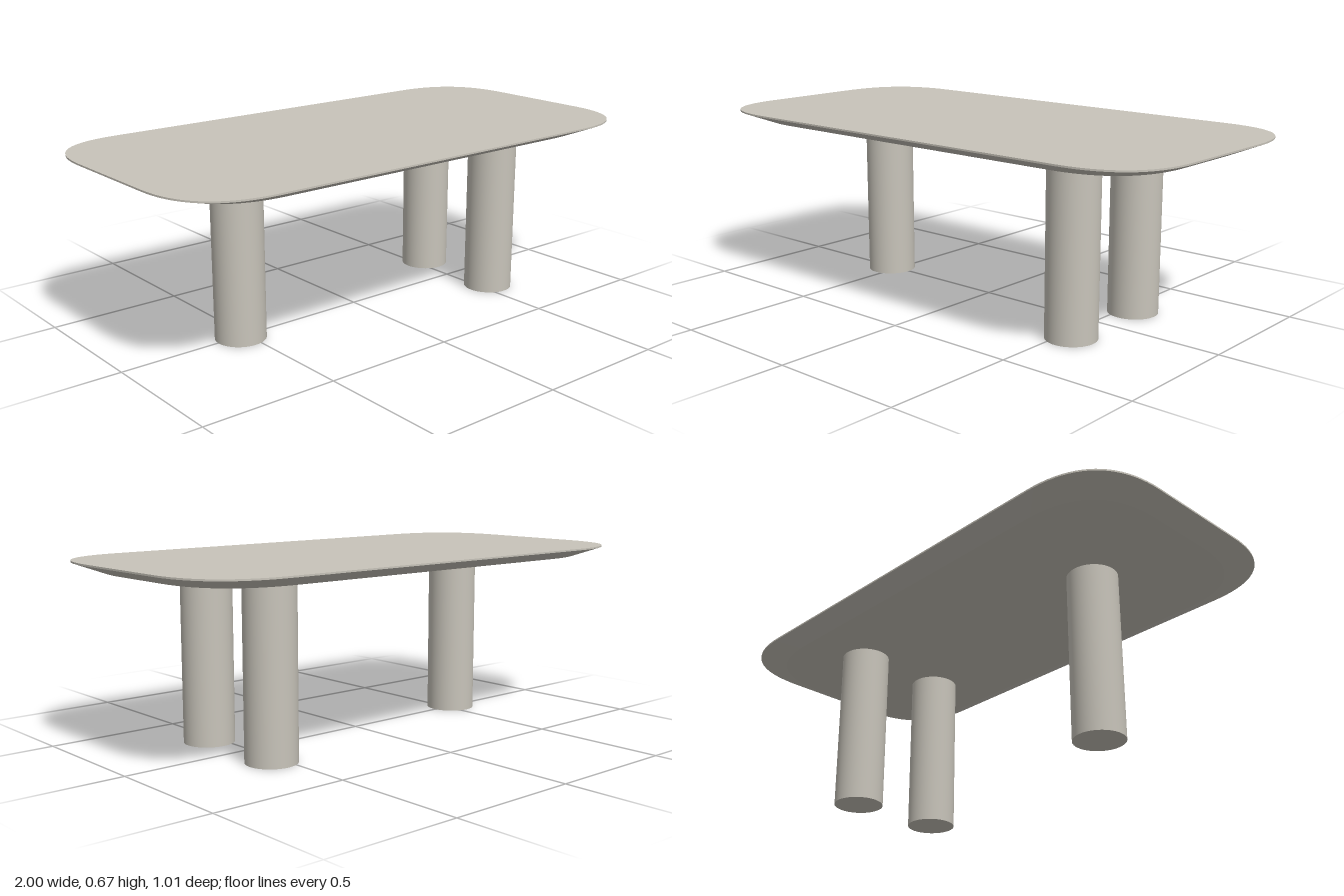
import * as THREE from 'three';

const TOP = 0.672, LIP = 0.666, UNDER = 0.632;   // tabletop heights
const HALF_X = 1, HALF_Z = 0.505, INSET = 0.08;  // tabletop extents and bevel
const CORNER = 0.3, STEPS = 20;

// Rounded rectangle as a closed loop of points, with soft quadratic corners
function outline(hx, hz, y) {
  const points = [];
  const corners = [[1, 1], [-1, 1], [-1, -1], [1, -1]];
  for (const [sx, sz] of corners) {
    const alongX = new THREE.Vector3(sx * (hx - CORNER), y, sz * hz);
    const alongZ = new THREE.Vector3(sx * hx, y, sz * (hz - CORNER));
    const tip = new THREE.Vector3(sx * hx, y, sz * hz);
    const [from, to] = sx * sz > 0 ? [alongZ, alongX] : [alongX, alongZ];
    points.push(...new THREE.QuadraticBezierCurve3(from, tip, to).getPoints(STEPS));
  }
  return points;
}

// Joins consecutive loops; each band has its own vertices so the edges stay sharp
function loft(loops) {
  const positions = [], index = [];
  for (let k = 0; k < loops.length - 1; k++) {
    const n = loops[k].length, start = positions.length / 3;
    for (const p of [...loops[k], ...loops[k + 1]]) positions.push(p.x, p.y, p.z);
    for (let i = 0; i < n; i++) {
      const j = (i + 1) % n;
      const a = start + i, a1 = start + j;
      const b = a + n, b1 = a1 + n;
      index.push(a, b, a1, b, b1, a1);
    }
  }
  const geometry = new THREE.BufferGeometry();
  geometry.setAttribute('position', new THREE.Float32BufferAttribute(positions, 3));
  geometry.setIndex(index);
  geometry.computeVertexNormals();
  return geometry;
}

export function createModel() {
  const model = new THREE.Group();
  model.name = 'table';

  const stone = new THREE.MeshStandardMaterial({ color: 0xc8c4ba });
  stone.name = 'warm grey';

  // Tabletop: flat underside, wide bevel, thin lip, flat top
  const under = outline(HALF_X - INSET, HALF_Z - INSET * 0.95, UNDER);
  const lip = outline(HALF_X, HALF_Z, LIP);
  const upper = outline(HALF_X, HALF_Z, TOP);
  const centre = (y) => upper.map(() => new THREE.Vector3(0, y, 0));
  const tabletop = new THREE.Mesh(
    loft([centre(UNDER), under, lip, upper, centre(TOP)]), stone);
  tabletop.name = 'tabletop';
  model.add(tabletop);

  // Three round legs: a pair at one end, a single one at the other
  const legGeometry = new THREE.CylinderGeometry(0.0925, 0.0925, UNDER, 64);
  const legs = [
    ['frontLeftLeg', 0.54, 0.19],
    ['backLeftLeg', 0.54, -0.18],
    ['rightLeg', -0.527, 0.005],
  ];
  for (const [name, x, z] of legs) {
    const leg = new THREE.Mesh(legGeometry, stone);
    leg.name = name;
    leg.position.set(x, UNDER / 2, z);
    model.add(leg);
  }
  return model;
}
